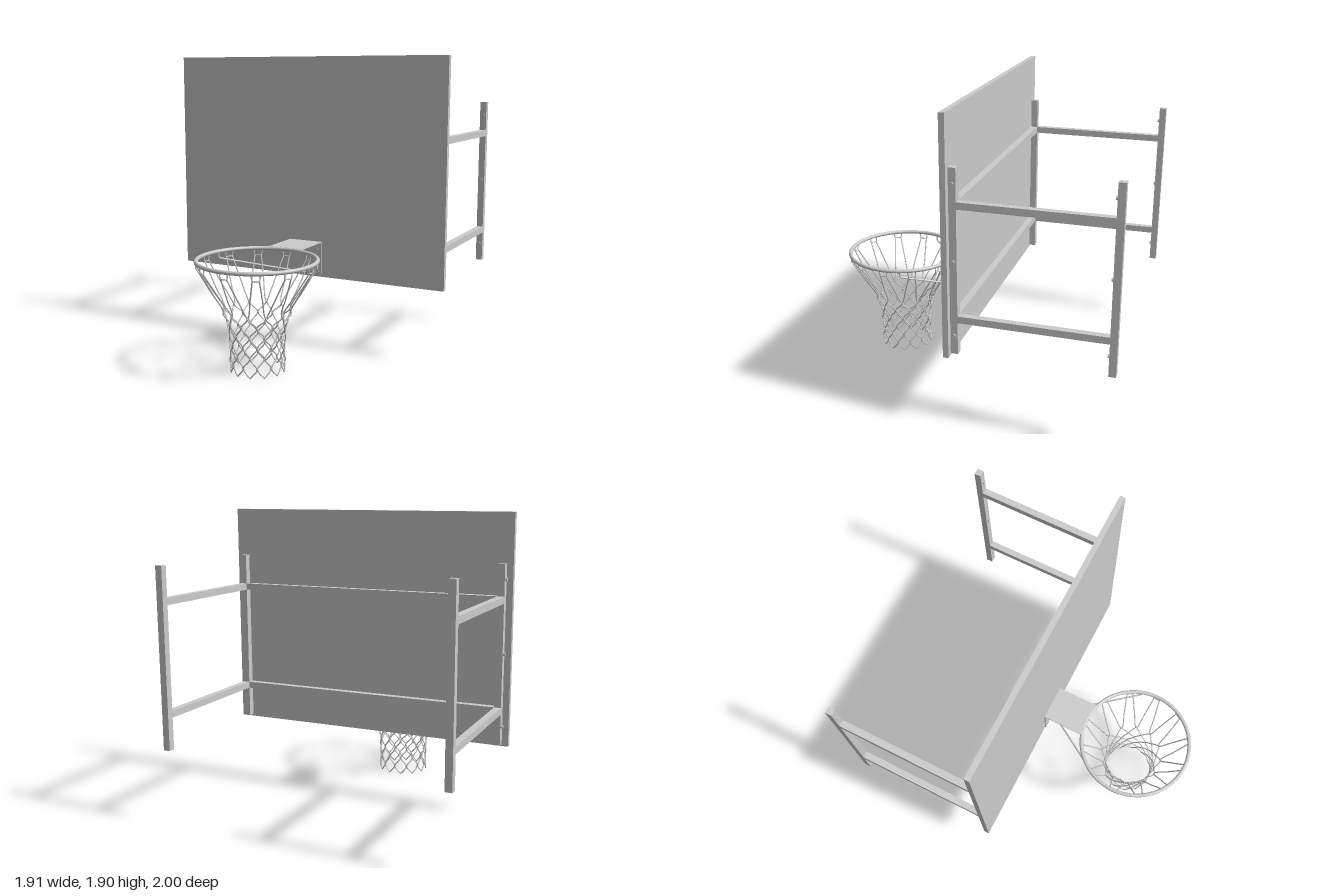
import * as THREE from 'three';

const material = new THREE.MeshStandardMaterial({ color: 0xcccccc });
const RING = { y: 0.692, z: 0.62, r: 0.364, tube: 0.0125 };
const BOARD_FRONT = -0.007;
const V = (x, y, z) => new THREE.Vector3(x, y, z);

function add(parent, name, geometry, x = 0, y = 0, z = 0) {
  const mesh = new THREE.Mesh(geometry, material);
  mesh.name = name;
  mesh.position.set(x, y, z);
  parent.add(mesh);
  return mesh;
}

// Box given by its minimum and maximum corners
function block(parent, name, [x0, y0, z0], [x1, y1, z1]) {
  return add(parent, name, new THREE.BoxGeometry(x1 - x0, y1 - y0, z1 - z0),
    (x0 + x1) / 2, (y0 + y1) / 2, (z0 + z1) / 2);
}

// Point around the hoop axis; angle 0 faces the front
const around = (angle, r, y) => V(Math.sin(angle) * r, y, RING.z + Math.cos(angle) * r);

// Round bar with straight runs between points
function bentWire(points) {
  const path = new THREE.CurvePath();
  for (let i = 1; i < points.length; i++) path.add(new THREE.LineCurve3(points[i - 1], points[i]));
  return path;
}

function buildFrame() {
  const frame = new THREE.Group();
  frame.name = 'wallFrame';
  const inner = 0.874, outer = 0.917, bottom = 0.483, top = 1.6;
  const barHeights = [0.702, 1.386], half = 0.021;

  for (const side of [-1, 1]) {
    const xs = [side * inner, side * outer].sort((a, b) => a - b);
    block(frame, 'boardPost', [xs[0], bottom, -0.085], [xs[1], top, -0.041]);
    block(frame, 'wallPost', [xs[0], bottom, -1], [xs[1], top, -0.957]);
    for (const y of barHeights)
      block(frame, 'sideArm', [xs[0], y - half, -0.957], [xs[1], y + half, -0.085]);

    // Bolts on the outer face of the board post and front face of the wall post
    for (const y of [0.6, 1.055, 1.51]) {
      const bolt = new THREE.CylinderGeometry(0.012, 0.012, 0.012, 6);
      add(frame, 'boardPostBolt', bolt, side * (outer + 0.005), y, -0.063).rotation.z = Math.PI / 2;
      add(frame, 'wallPostBolt', bolt, side * (inner + outer) / 2, y, -0.952).rotation.x = Math.PI / 2;
    }
  }
  for (const y of barHeights)
    block(frame, 'crossBar', [-inner, y - half, -0.085], [inner, y + half, -0.042]);
  return frame;
}

function buildBracket() {
  const bracket = new THREE.Group();
  bracket.name = 'hoopBracket';
  const w = 0.117;

  // Top plate, cut to the curve of the ring
  const spread = Math.asin(w / RING.r);
  const shape = new THREE.Shape();
  shape.moveTo(-w, BOARD_FRONT);
  shape.lineTo(w, BOARD_FRONT);
  shape.absarc(0, RING.z, RING.r, -Math.PI / 2 + spread, -Math.PI / 2 - spread, true);
  shape.closePath();
  const plate = new THREE.ExtrudeGeometry(shape, { depth: 0.006, bevelEnabled: false, curveSegments: 16 });
  plate.rotateX(Math.PI / 2);
  add(bracket, 'topPlate', plate, 0, 0.705, 0);

  // Back plate and its bolts
  block(bracket, 'backPlate', [-w, 0.485, BOARD_FRONT], [w, 0.7, 0]);
  for (const x of [-0.087, 0.087])
    for (const y of [0.505, 0.655])
      add(bracket, 'plateBolt', new THREE.CylinderGeometry(0.011, 0.011, 0.006, 6), x, y, 0.002).rotation.x = Math.PI / 2;

  // Struts from the foot of the back plate to the sides of the ring
  for (const side of [-1, 1]) {
    const path = bentWire([V(0, 0.49, 0), V(side * 0.347, 0.65, 0.51), V(side * 0.347, RING.y, 0.51)]);
    add(bracket, 'strut', new THREE.TubeGeometry(path, 40, 0.006, 8));
  }
  return bracket;
}

function buildHoop() {
  const hoop = new THREE.Group();
  hoop.name = 'hoop';
  const ring = add(hoop, 'ring', new THREE.TorusGeometry(RING.r, RING.tube, 12, 72), 0, RING.y, RING.z);
  ring.rotation.x = Math.PI / 2;

  // Wire loops that hold the net
  for (let i = 0; i < 12; i++) {
    const a = i * Math.PI / 6;
    const corners = [[-0.075, RING.y], [-0.06, 0.65], [0.06, 0.65], [0.075, RING.y]];
    const path = bentWire(corners.map(([da, y]) => around(a + da, RING.r, y)));
    add(hoop, 'netHook', new THREE.TubeGeometry(path, 24, 0.004, 6));
  }
  return hoop;
}

function buildNet() {
  const net = new THREE.Group();
  net.name = 'net';
  const step = Math.PI / 12;
  const radii = [0.208, 0.183, 0.172, 0.167, 0.165, 0.165, 0.165];
  const rowY = k => 0.385 - k * 0.0635;
  const knot = new THREE.SphereGeometry(0.0075, 8, 6);

  for (let i = 0; i < 12; i++) {
    const a = i * 2 * step;
    // Two cords leave every hook and wind down in opposite directions
    for (const d of [-1, 1]) {
      const points = [around(a + d * 0.055, RING.r, 0.652), around(a + d * 0.13, 0.278, 0.51)];
      radii.forEach((r, k) => {
        const angle = a + d * step * (k + 1);
        points.push(around(angle - d * 0.035, r + 0.002, rowY(k) + 0.014));
        if (k < radii.length - 1) points.push(around(angle + d * 0.035, r, rowY(k) - 0.014));
        else points.push(around(angle, r, rowY(k) + 0.008));
      });
      const cord = new THREE.CatmullRomCurve3(points);
      add(net, 'netCord', new THREE.TubeGeometry(cord, 70, 0.0042, 5));
    }
    // Knots where the cords cross
    for (let k = 0; k < radii.length - 1; k++) {
      const p = around(a + step * (k + 1), radii[k], rowY(k));
      add(net, 'netKnot', knot, p.x, p.y, p.z);
    }
  }
  return net;
}

export function createModel() {
  const model = new THREE.Group();
  model.name = 'basketballHoop';
  block(model, 'backboard', [-0.957, 0.47, -0.041], [0.957, 1.905, BOARD_FRONT]);
  model.add(buildFrame(), buildBracket(), buildHoop(), buildNet());
  return model;
}
